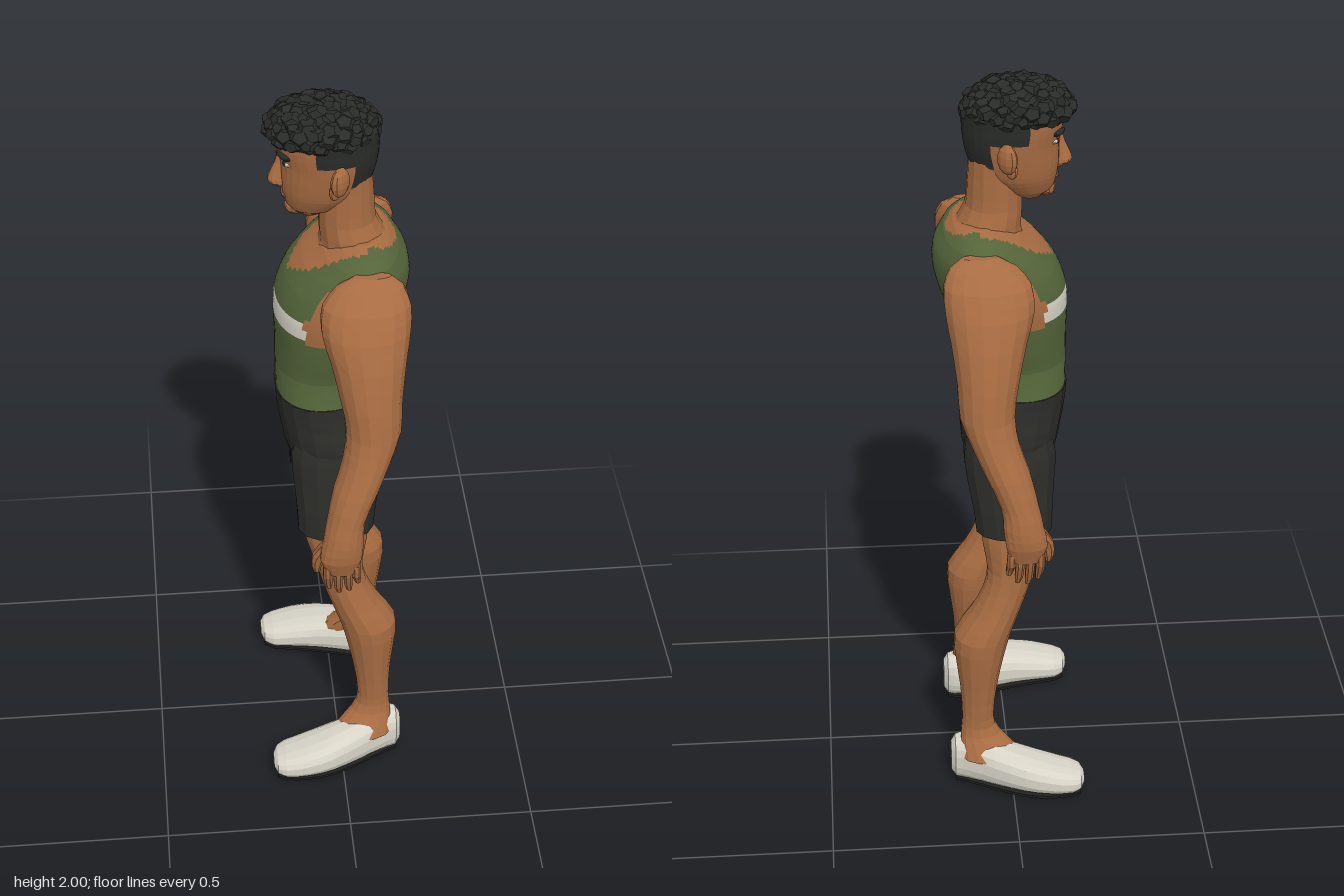
import * as THREE from 'three';
import { mergeGeometries } from 'three/addons/utils/BufferGeometryUtils.js';

const paint = (name, color) => Object.assign(new THREE.MeshStandardMaterial({ color }), { name });

// Cross-sections [t, u0, u1, v0, v1] along y (u = x, v = z) or along x (u = z, v = y),
// smoothed along the axis; pick(centre) chooses the material of each quad.
function loft(name, rows, mats, { n = 14, k = 2, e = 0.9, axis = 'y', pick = () => 0 } = {}) {
  const cr = (a, b, c, d, s) => 0.5 * (2 * b + (c - a) * s + (2 * a - 5 * b + 4 * c - d) * s * s + (3 * b - a - 3 * c + d) * s ** 3);
  const fine = [];
  rows.forEach((r, i) => {
    if (i === rows.length - 1) return fine.push(r);
    const a = rows[Math.max(i - 1, 0)], c = rows[i + 1], d = rows[Math.min(i + 2, rows.length - 1)];
    for (let s = 0; s < k; s++) {
      fine.push(r.map((b, j) => j ? cr(a[j], b, c[j], d[j], s / k) : b + (c[0] - b) * s / k));
    }
  });
  const place = (t, u, v) => axis === 'y' ? new THREE.Vector3(u, t, v) : new THREE.Vector3(t, v, u);
  const pow = (q) => Math.sign(q) * Math.abs(q) ** e;
  const rings = fine.map(([t, u0, u1, v0, v1]) => Array.from({ length: n }, (_, j) => {
    const a = (j + 0.5) / n * Math.PI * 2;
    return place(t, (u0 + u1) / 2 + pow(Math.cos(a)) * (u1 - u0) / 2, (v0 + v1) / 2 + pow(Math.sin(a)) * (v1 - v0) / 2);
  }));
  const buckets = mats.map(() => []);
  const tri = (id, ...pts) => pts.forEach((p) => buckets[id].push(p.x, p.y, p.z));
  const mid = (...pts) => pts.reduce((m, p) => m.add(p), new THREE.Vector3()).divideScalar(pts.length);
  for (let i = 0; i + 1 < rings.length; i++) for (let j = 0; j < n; j++) {
    const h = (j + 1) % n, a = rings[i][j], b = rings[i + 1][j], c = rings[i + 1][h], d = rings[i][h];
    const id = pick(mid(a, b, c, d));
    tri(id, a, b, c);
    tri(id, a, c, d);
  }
  const lo = rings[0], hi = rings[rings.length - 1], cl = mid(...lo), ch = mid(...hi);
  for (let j = 0; j < n; j++) {
    const h = (j + 1) % n;
    tri(pick(cl), cl, lo[j], lo[h]);
    tri(pick(ch), ch, hi[h], hi[j]);
  }
  const geo = new THREE.BufferGeometry();
  geo.setAttribute('position', new THREE.Float32BufferAttribute(buckets.flat(), 3));
  let start = 0;
  buckets.forEach((b, id) => {
    if (b.length) geo.addGroup(start, b.length / 3, id);
    start += b.length / 3;
  });
  geo.computeVertexNormals();
  const mesh = new THREE.Mesh(geo, mats.length > 1 ? mats : mats[0]);
  mesh.name = name;
  return mesh;
}

export function createModel() {
  const skin = paint('skin', 0xa86c42), shirt = paint('shirt green', 0x55653a), hem = paint('hem green', 0x5d6e3f);
  const white = paint('off white', 0xd8d4c8), shorts = paint('shorts black', 0x2b2b28), hair = paint('hair black', 0x2a2c29);
  const sole = paint('sole black', 0x20201e), lip = paint('lip brown', 0x8a543a);
  const model = new THREE.Group();
  const add = (...m) => model.add(...m);
  const sym = (rows) => rows.map(([y, x0, x1, w]) => [y, x0, x1, -w, w]);
  const blob = (name, mat, pos, size, turn = 0) => {
    const geo = new THREE.SphereGeometry(1, 10, 7).toNonIndexed();
    geo.computeVertexNormals();
    const m = new THREE.Mesh(geo, mat);
    m.name = name;
    m.position.set(...pos);
    m.scale.set(...size);
    m.rotation.y = turn;
    add(m);
  };

  // Torso in a tank top: scooped neck, armholes, chest stripe and hem band
  add(loft('tankTop', sym([
    [1.14, -0.155, 0.085, 0.146], [1.24, -0.156, 0.1, 0.153], [1.32, -0.156, 0.13, 0.172], [1.39, -0.158, 0.155, 0.184],
    [1.44, -0.153, 0.175, 0.19], [1.5, -0.128, 0.189, 0.192], [1.55, -0.085, 0.184, 0.191], [1.59, -0.035, 0.16, 0.182],
    [1.612, 0.0, 0.135, 0.15], [1.624, 0.03, 0.11, 0.095],
  ]), [shirt, hem, white, skin], {
    n: 64, k: 5, e: 0.9,
    pick: ({ x, y, z }) => {
      const w = Math.abs(z);
      if (x < 0.07 && y > 1.515 + 6 * z * z && w < 0.13) return 3;
      if (y > 1.595 + 2 * z * z && w < 0.1) return 3;
      const edge = y < 1.44 ? -0.09 : -0.09 + (y - 1.44) * 0.6;
      if (y > 1.38 && x > edge && x < 0.09 && w > (y < 1.54 ? 0.13 : 0.18)) return 3;
      if (y > 1.39 && y < 1.44 && x < -0.03) return 2;
      return y < 1.24 ? 1 : 0;
    },
  }));

  // Neck and trapezius
  add(loft('neck', sym([
    [1.56, -0.05, 0.145, 0.1], [1.595, -0.04, 0.145, 0.095], [1.62, -0.04, 0.125, 0.09], [1.66, -0.042, 0.105, 0.079],
    [1.72, -0.04, 0.1, 0.076], [1.79, -0.03, 0.095, 0.075],
  ]), [skin], { e: 1 }));

  // Head with the short faded hair painted on the back and sides
  add(loft('head', sym([
    [1.677, -0.09, -0.03, 0.028], [1.7, -0.118, 0.02, 0.055], [1.74, -0.13, 0.07, 0.078], [1.78, -0.135, 0.095, 0.088],
    [1.83, -0.135, 0.108, 0.096], [1.88, -0.145, 0.112, 0.1], [1.93, -0.135, 0.108, 0.098], [1.97, -0.09, 0.06, 0.06],
  ]), [skin, hair], {
    n: 32, k: 3, e: 1,
    pick: ({ x, y }) => (y > 1.91 || (x > 0.035 && y > 1.775) || (x > -0.045 && y > 1.85) ? 1 : 0),
  }));

  // Curly hair: a cap covered with large angular curls
  blob('hairCap', hair, [-0.03, 1.915, 0], [0.138, 0.07, 0.106]);
  let seed = 7;
  const rnd = () => (seed = (seed * 16807) % 2147483647) / 2147483647;
  const curls = [];
  for (let i = 0; i < 80; i++) {
    const h = 1 - 1.15 * (i + 0.5) / 80, r = Math.sqrt(1 - h * h), a = i * 2.39996;
    const g = new THREE.DodecahedronGeometry(0.024 + rnd() * 0.009);
    g.rotateX(rnd() * 3).rotateY(rnd() * 3).scale(1, 0.8, 1);
    g.translate(-0.03 + 0.122 * r * Math.cos(a), 1.914 + 0.062 * h, 0.094 * r * Math.sin(a));
    curls.push(g);
  }
  const curlMesh = new THREE.Mesh(mergeGeometries(curls), hair);
  curlMesh.name = 'curls';
  add(curlMesh);

  // Nose, mouth and chin
  add(loft('nose', sym([
    [1.755, -0.145, -0.115, 0.013], [1.768, -0.165, -0.115, 0.024], [1.785, -0.166, -0.115, 0.021],
    [1.82, -0.15, -0.115, 0.013], [1.86, -0.139, -0.115, 0.011],
  ]), [skin], { n: 10, e: 1 }));
  blob('mouth', lip, [-0.126, 1.733, 0], [0.008, 0.007, 0.028]);
  blob('chin', skin, [-0.1, 1.698, 0], [0.026, 0.022, 0.035]);

  // Pelvis of the shorts
  add(loft('shortsHips', sym([
    [0.925, -0.08, 0.08, 0.06], [0.965, -0.128, 0.115, 0.16], [1.03, -0.142, 0.123, 0.176],
    [1.09, -0.153, 0.113, 0.161], [1.155, -0.159, 0.09, 0.15],
  ]), [shorts], { n: 18, e: 0.88 }));

  for (const s of [1, -1]) {
    const side = s > 0 ? 'left' : 'right';
    const flipV = (rows) => rows.map(([t, a, b, c, d]) => s > 0 ? [t, a, b, c, d] : [t, a, b, -d, -c]);
    const flipU = (rows) => rows.map(([t, a, b, c, d]) => s > 0 ? [t, a, b, c, d] : [t, -b, -a, c, d]);

    // Face details and ear
    blob(side + 'Eye', white, [-0.12, 1.838, s * 0.042], [0.008, 0.007, 0.017], s * 0.5);
    blob(side + 'Pupil', hair, [-0.1255, 1.838, s * 0.041], [0.005, 0.007, 0.008], s * 0.5);
    blob(side + 'Brow', hair, [-0.13, 1.862, s * 0.045], [0.009, 0.008, 0.03], s * 0.5);
    blob(side + 'Ear', skin, [0.004, 1.822, s * 0.114], [0.03, 0.04, 0.018], s * 0.75);
    blob(side + 'EarLobe', skin, [-0.008, 1.785, s * 0.1], [0.016, 0.022, 0.012], s * 0.5);

    // Arm from palm to shoulder
    add(loft(side + 'Arm', flipV([
      [0.855, -0.06, 0.02, 0.41, 0.452], [0.9, -0.075, 0.032, 0.398, 0.465], [0.95, -0.066, 0.038, 0.373, 0.465],
      [1.0, -0.055, 0.043, 0.348, 0.455], [1.08, -0.035, 0.08, 0.308, 0.438], [1.15, -0.01, 0.112, 0.277, 0.415],
      [1.22, 0.0, 0.14, 0.243, 0.394], [1.3, -0.012, 0.145, 0.208, 0.378], [1.4, -0.035, 0.158, 0.172, 0.348],
      [1.47, -0.055, 0.17, 0.152, 0.318], [1.53, -0.05, 0.172, 0.15, 0.28], [1.57, -0.015, 0.155, 0.155, 0.238],
      [1.592, 0.03, 0.125, 0.168, 0.2],
    ]), [skin], { e: 1, n: 16 }));

    // Fingers and thumb
    [[-0.056, 0.795], [-0.03, 0.78], [-0.004, 0.785], [0.018, 0.808]].forEach(([x, tip], i) => {
      add(loft(side + 'Finger' + (i + 1), flipV([
        [tip, x - 0.002, x + 0.012, 0.412, 0.428], [tip + 0.02, x - 0.009, x + 0.013, 0.41, 0.436],
        [0.845, x - 0.012, x + 0.012, 0.415, 0.45], [0.88, x - 0.012, x + 0.012, 0.418, 0.45],
      ]), [skin], { n: 8 }));
    });
    add(loft(side + 'Thumb', flipV([
      [0.83, -0.088, -0.072, 0.388, 0.402], [0.85, -0.094, -0.068, 0.383, 0.409],
      [0.89, -0.093, -0.055, 0.382, 0.418], [0.94, -0.066, -0.03, 0.39, 0.43],
    ]), [skin], { n: 8 }));

    // Leg of the shorts
    add(loft(side + 'ShortsLeg', flipV([
      [0.78, -0.112, 0.092, 0.068, 0.222], [0.85, -0.115, 0.1, 0.048, 0.216], [0.93, -0.122, 0.115, 0.008, 0.2],
      [0.99, -0.125, 0.12, 0.004, 0.186], [1.06, -0.11, 0.11, 0.02, 0.16],
    ]), [shorts]));

    // Bare leg with knee, calf and instep
    add(loft(side + 'Leg', flipV([
      [0.09, -0.03, 0.14, 0.175, 0.275], [0.15, 0.03, 0.14, 0.157, 0.235], [0.2, 0.048, 0.135, 0.15, 0.228],
      [0.3, 0.036, 0.14, 0.115, 0.235], [0.38, 0.02, 0.15, 0.096, 0.243], [0.46, 0.0, 0.153, 0.086, 0.248],
      [0.53, -0.025, 0.108, 0.09, 0.236], [0.6, -0.048, 0.073, 0.1, 0.225], [0.66, -0.065, 0.062, 0.09, 0.22],
      [0.74, -0.09, 0.075, 0.08, 0.217], [0.81, -0.1, 0.08, 0.08, 0.21],
    ]), [skin], { e: 1 }));

    // Slip-on shoe, toes turned outwards, on a thin sole
    const shoe = [
      [-0.195, 0.255, 0.3, 0.03, 0.055], [-0.185, 0.228, 0.322, 0.016, 0.066], [-0.16, 0.212, 0.334, 0.006, 0.076],
      [-0.1, 0.2, 0.338, 0.005, 0.094], [-0.03, 0.185, 0.325, 0.005, 0.114], [0.05, 0.163, 0.288, 0.005, 0.13],
      [0.12, 0.148, 0.25, 0.005, 0.137], [0.155, 0.156, 0.234, 0.008, 0.133], [0.167, 0.172, 0.218, 0.025, 0.115],
    ];
    add(loft(side + 'Shoe', flipU(shoe), [white], { axis: 'x', e: 0.8, n: 16 }));
    add(loft(side + 'Sole', flipU(shoe.slice(1, -1).map(([x, a, b]) => [x, a + 0.01, b - 0.01, 0, 0.016])), [sole], { axis: 'x', e: 0.5 }));
  }
  return model;
}
